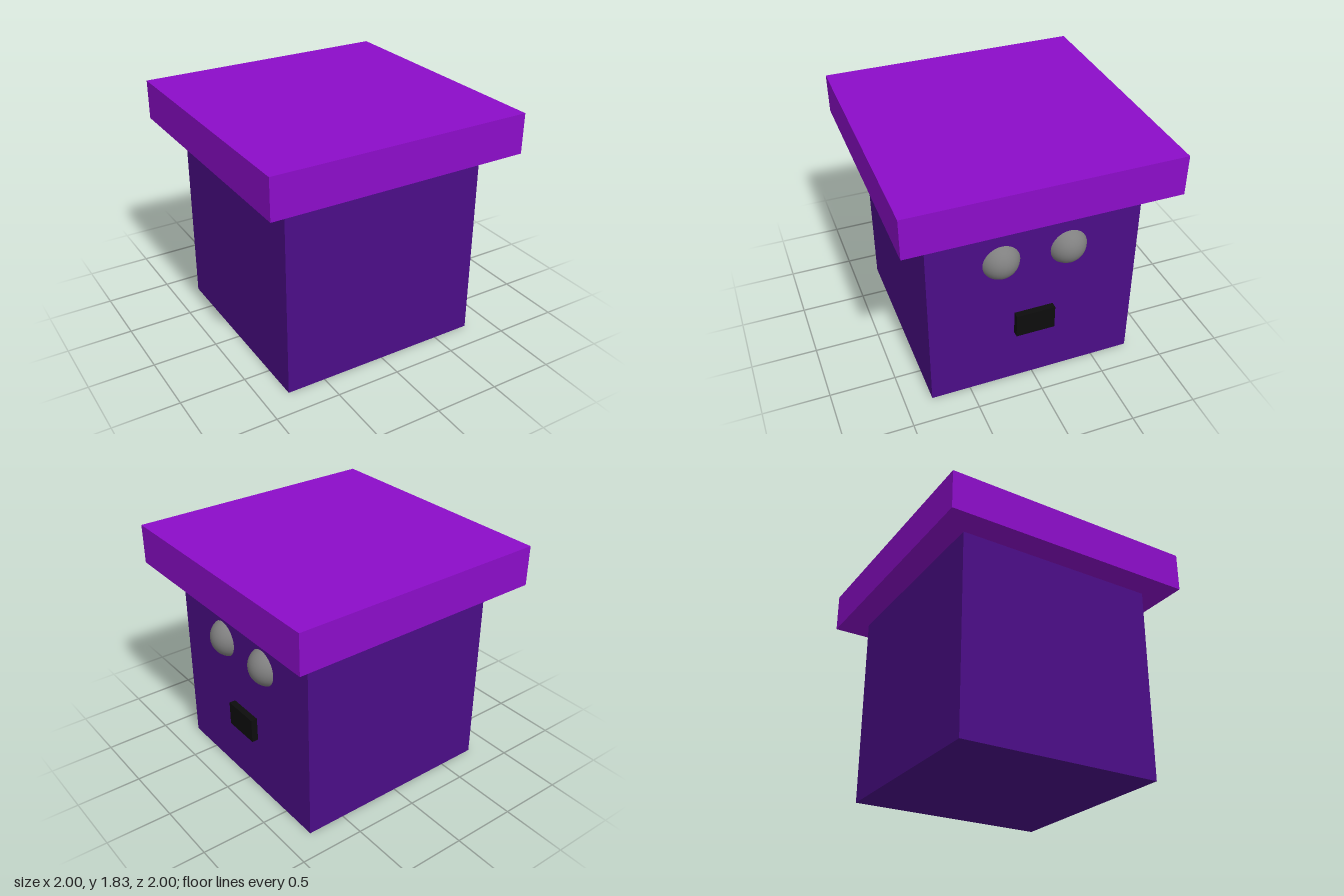
import * as THREE from 'three';

function part(name, geometry, color, x, y, z) {
  const mesh = new THREE.Mesh(geometry, new THREE.MeshStandardMaterial({ color }));
  mesh.name = name;
  mesh.position.set(x, y, z);
  return mesh;
}

export function createModel() {
  const model = new THREE.Group();
  model.name = 'boxHead';

  // Cube head with an overhanging slab on top
  model.add(part('head', new THREE.BoxGeometry(1.594, 1.525, 1.594), 0x4b0d87, 0, 0.7625, 0));
  model.add(part('lid', new THREE.BoxGeometry(2, 0.305, 2), 0x8c0dc9, 0, 1.6775, 0));

  // Eyes sunk into the +x face
  for (const side of [-1, 1]) {
    const eye = new THREE.SphereGeometry(0.15, 32, 16);
    model.add(part(side > 0 ? 'leftEye' : 'rightEye', eye, 0x808080, 0.741, 1.135, side * 0.253));
  }

  // Mouth block, half sunk into the face
  model.add(part('mouth', new THREE.BoxGeometry(0.1, 0.19, 0.3), 0x0d0d0d, 0.796, 0.545, 0));

  return model;
}
